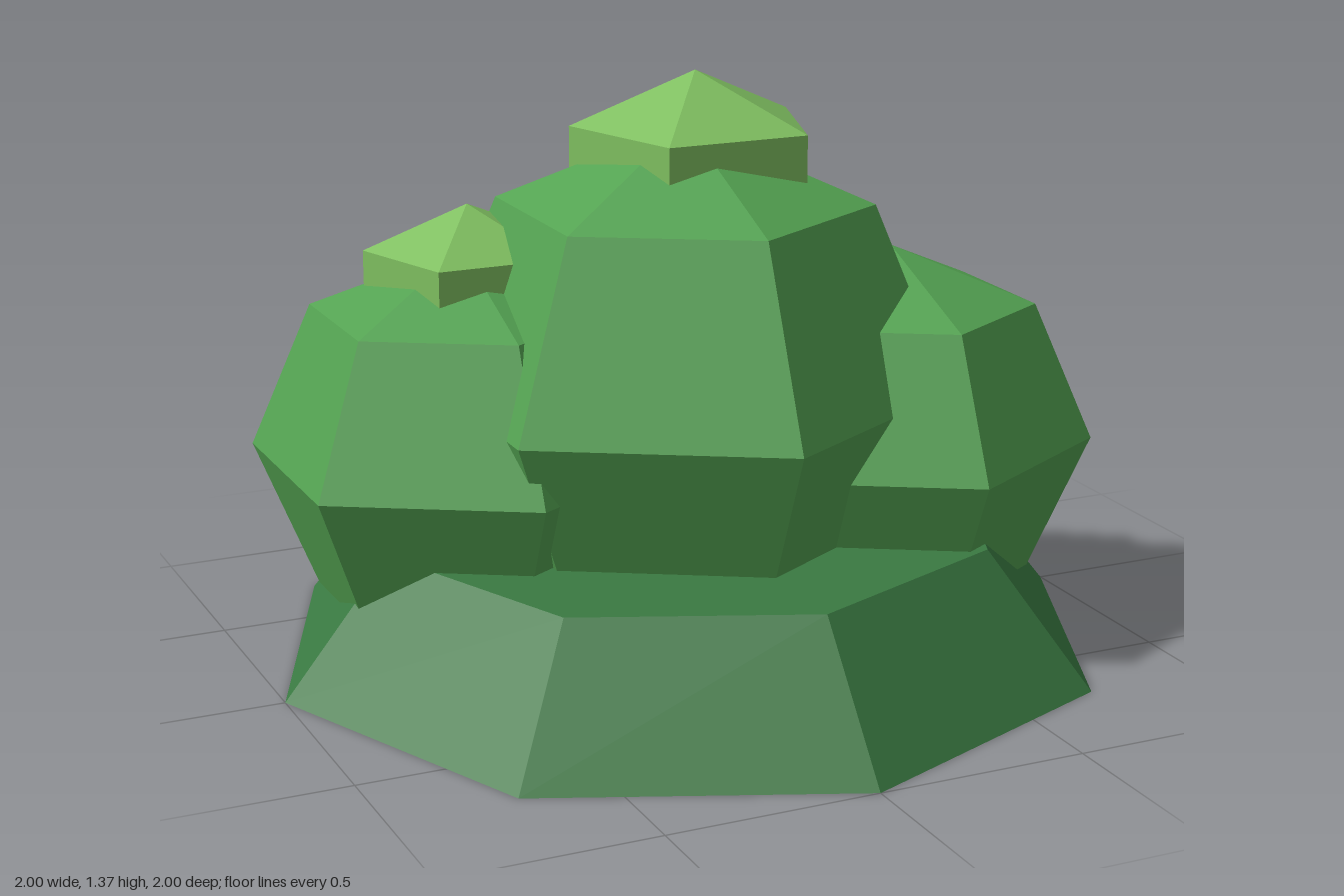
import * as THREE from 'three';

// Faceted normals for a low-poly look
function faceted(geometry) {
  const g = geometry.toNonIndexed();
  g.computeVertexNormals();
  return g;
}

// Low-poly ellipsoid with one corner column pointing to the back
function lump(name, material, sides, rows, radius, height, position) {
  const g = new THREE.SphereGeometry(1, sides, rows);
  g.rotateY(-Math.PI / 2);
  g.scale(radius, height, radius);
  const mesh = new THREE.Mesh(faceted(g), material);
  mesh.name = name;
  mesh.position.set(...position);
  return mesh;
}

function flatColour(name, color) {
  const material = new THREE.MeshStandardMaterial({ color });
  material.name = name;
  return material;
}

export function createModel() {
  const group = new THREE.Group();
  group.name = 'bush';
  const dark = flatColour('darkGreen', 0x3a7a42);
  const mid = flatColour('leafGreen', 0x54a352);
  const light = flatColour('lightGreen', 0x7fbf60);

  // Eight-sided tapered skirt on the ground
  const base = new THREE.Mesh(faceted(new THREE.CylinderGeometry(0.745, 1, 0.315, 8)), dark);
  base.name = 'base';
  base.position.y = 0.1575;
  group.add(base);

  // Three six-sided foliage lumps
  group.add(
    lump('mainFoliage', mid, 6, 4, 0.626, 0.63, [0, 0.633, 0]),
    lump('leftFoliage', mid, 6, 4, 0.485, 0.462, [0.483, 0.488, 0.115]),
    lump('rightFoliage', mid, 6, 4, 0.51, 0.488, [-0.488, 0.488, -0.175]),
  );

  // Five-sided bright tufts on top
  group.add(
    lump('mainTuft', light, 5, 3, 0.34, 0.252, [0.055, 1.119, -0.06]),
    lump('rightTuft', light, 5, 3, 0.28, 0.21, [-0.46, 0.862, -0.205]),
  );
  return group;
}
